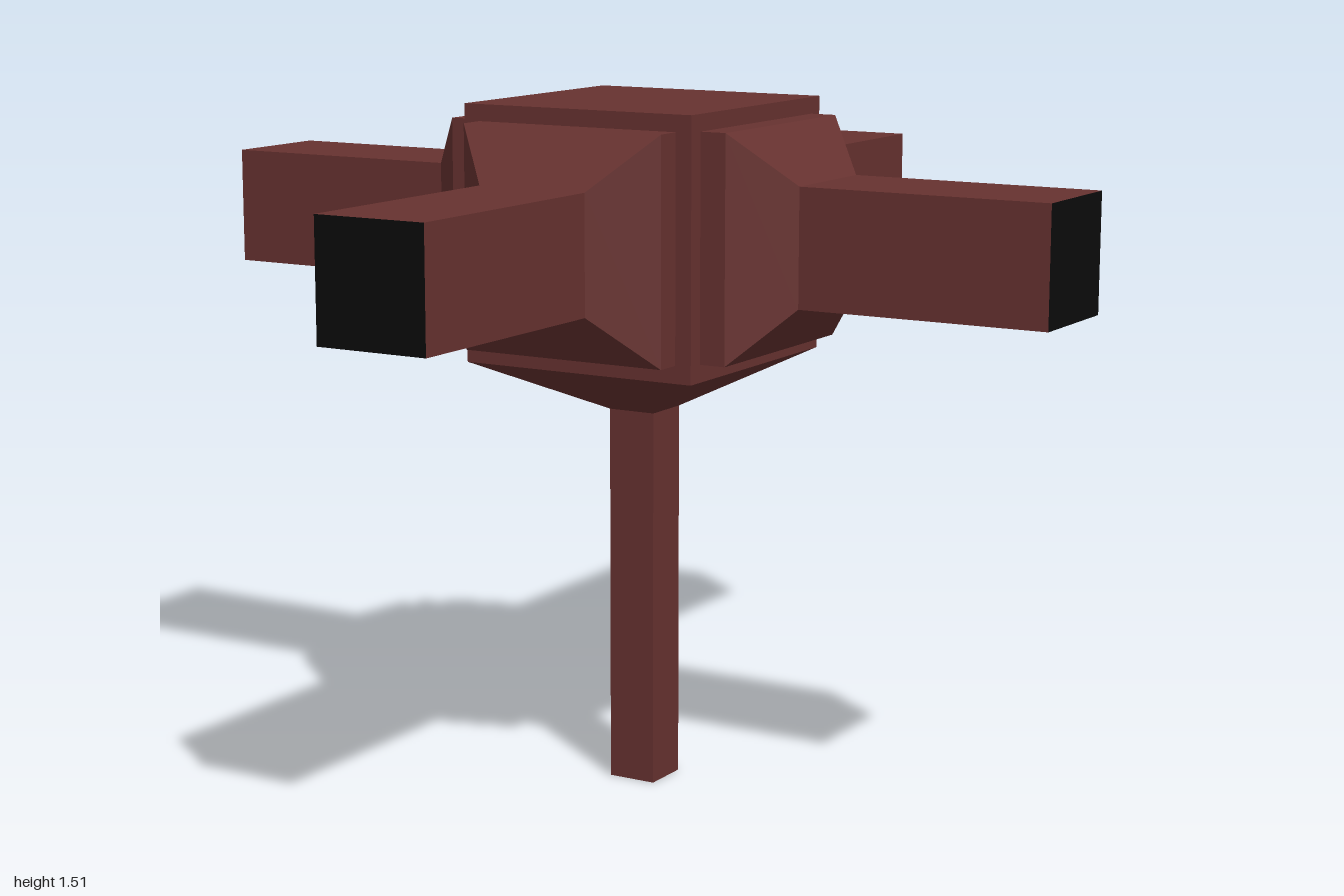
import * as THREE from 'three';

const brown = new THREE.MeshStandardMaterial({ color: 0x673230, flatShading: true });
const black = new THREE.MeshStandardMaterial({ color: 0x0b0b0b, flatShading: true });

// Square frustum along +y from y0 to y1, with half-widths h0 (bottom) and h1 (top)
function squareSection(y0, y1, h0, h1, open = false) {
  const g = new THREE.CylinderGeometry(h1 * Math.SQRT2, h0 * Math.SQRT2, y1 - y0, 4, 1, open);
  return g.rotateY(Math.PI / 4).translate(0, (y0 + y1) / 2, 0);
}

function addMesh(parent, name, geometry, material = brown) {
  const mesh = new THREE.Mesh(geometry, material);
  mesh.name = name;
  parent.add(mesh);
}

// One arm pointing along +z: collar, taper, square beam and dark end face
function createArm() {
  const arm = new THREE.Group();
  const along = (...args) => squareSection(...args).rotateX(Math.PI / 2);
  addMesh(arm, 'armCollar', along(0.275, 0.335, 0.24, 0.24, true));
  addMesh(arm, 'armTaper', along(0.335, 0.445, 0.24, 0.127, true));
  addMesh(arm, 'armBeam', along(0.445, 1, 0.127, 0.127, true));
  addMesh(arm, 'armEndFace', new THREE.PlaneGeometry(0.254, 0.254).translate(0, 0, 1), black);
  return arm;
}

export function createModel() {
  const model = new THREE.Group();
  model.name = 'fourArmJunction';

  // Post, flared support and central block
  addMesh(model, 'post', squareSection(0, 0.835, 0.055, 0.055));
  addMesh(model, 'flaredSupport', squareSection(0.835, 0.952, 0.055, 0.277, true));
  addMesh(model, 'centralBlock', squareSection(0.952, 1.506, 0.277, 0.277));

  // Four identical arms around the block
  ['frontArm', 'leftArm', 'backArm', 'rightArm'].forEach((name, i) => {
    const arm = createArm();
    arm.name = name;
    arm.position.y = 1.23;
    arm.rotation.y = i * Math.PI / 2;
    model.add(arm);
  });
  return model;
}
